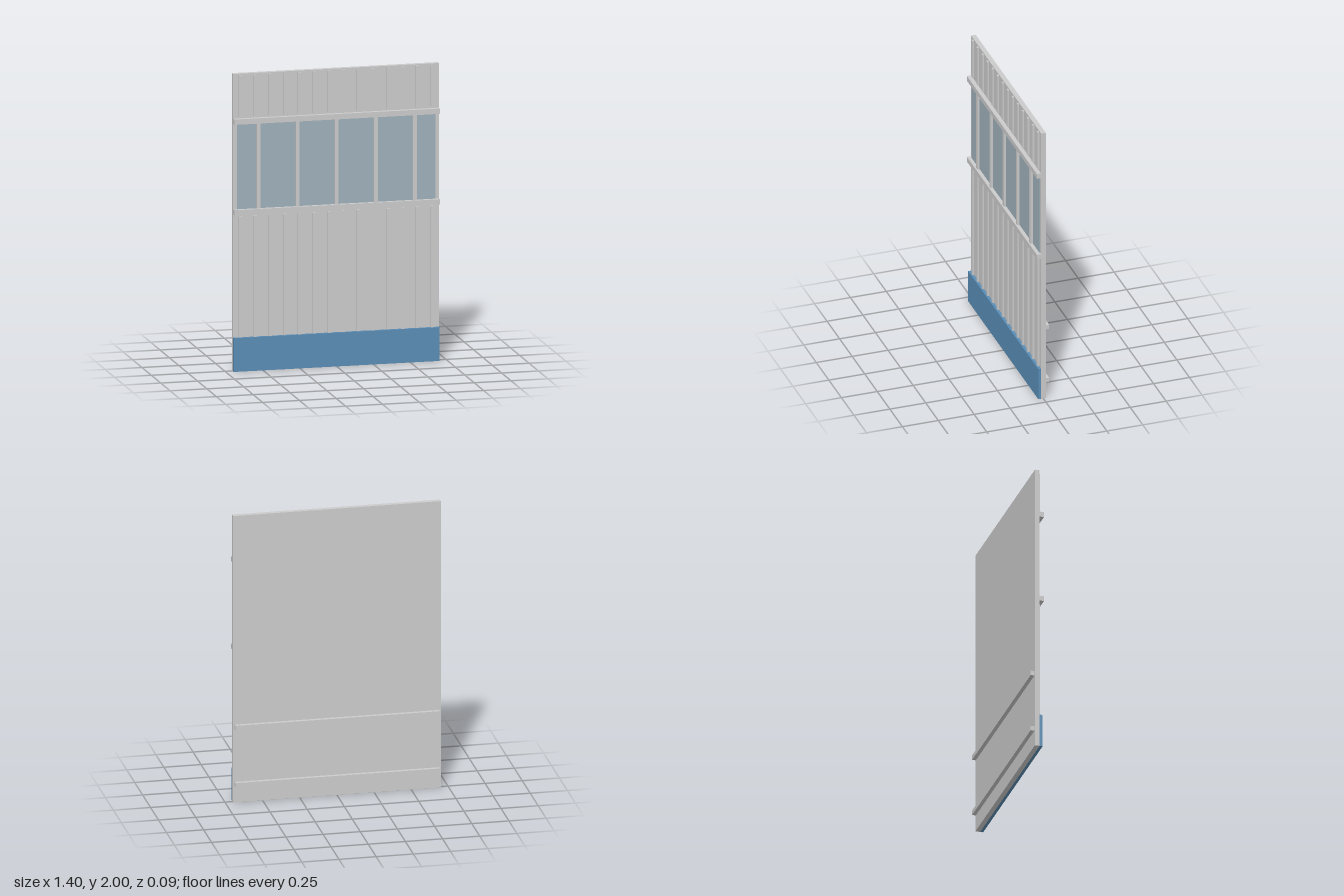
import * as THREE from 'three';

export function createModel() {
  const model = new THREE.Group();
  const grey = new THREE.MeshStandardMaterial({ color: 0xcccccc });
  const blue = new THREE.MeshStandardMaterial({ color: 0x5a8db6 });
  const glass = new THREE.MeshStandardMaterial({ color: 0x9fb1ba });

  // Box given by its extents along each axis
  function block(name, [x0, x1], [y0, y1], [z0, z1], material = grey) {
    const mesh = new THREE.Mesh(new THREE.BoxGeometry(x1 - x0, y1 - y0, z1 - z0), material);
    mesh.position.set((x0 + x1) / 2, (y0 + y1) / 2, (z0 + z1) / 2);
    mesh.name = name;
    model.add(mesh);
  }
  const centred = (x, width) => [x - width / 2, x + width / 2];
  const fullWidth = [-0.698, 0.698];
  const face = 0.015;

  // Wall slab and painted base board
  block('wallPanel', fullWidth, [0, 2], [-0.018, face]);
  block('baseBoard', fullWidth, [0, 0.227], [face, 0.035], blue);

  // Vertical battens above and below the window band
  for (let i = 0; i < 14; i++) {
    const x = centred(-0.65 + i * 0.1, 0.022);
    block('upperBatten', x, [1.713, 1.99], [face, 0.026]);
    block('lowerBatten', x, [0.227, 1.043], [face, 0.026]);
  }

  // Window band with sill, head rail and mullions
  block('windowGlass', [-0.673, 0.673], [1.09, 1.664], [0.004, 0.019], glass);
  block('sillRail', fullWidth, [1.055, 1.09], [0.005, 0.044]);
  block('headRail', fullWidth, [1.664, 1.7], [0.005, 0.044]);
  for (let i = -2; i <= 2; i++) {
    block('mullion', centred(i * 0.265, 0.026), [1.09, 1.664], [face, 0.035]);
  }

  // Horizontal rails on the back
  for (const y of [0.111, 0.511]) {
    block('backRail', [-0.688, 0.688], [y, y + 0.032], [-0.044, -0.018]);
  }
  return model;
}
